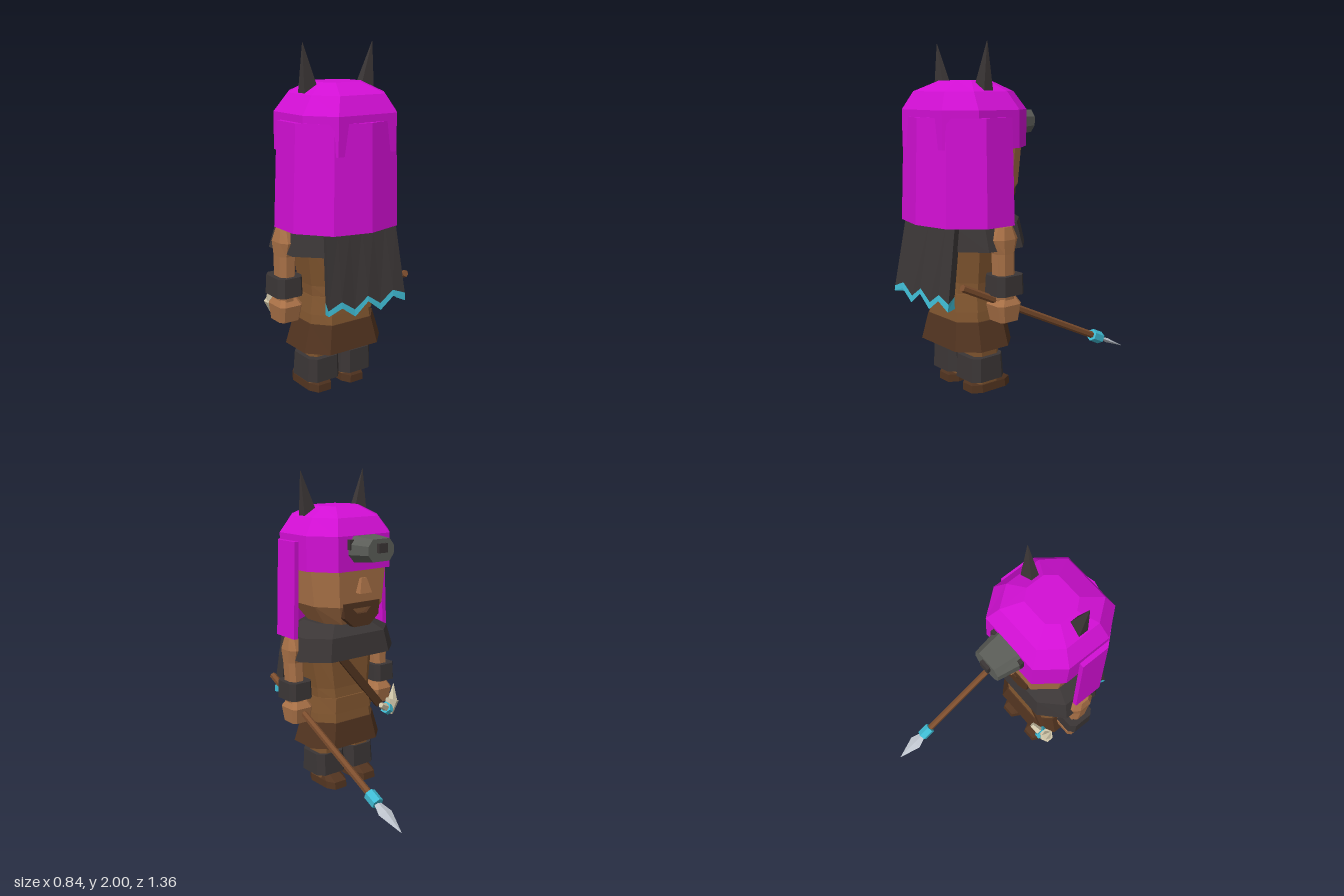
import * as THREE from 'three';

const mat = (name, color, side = THREE.FrontSide) => {
  const m = new THREE.MeshStandardMaterial({ color, side });
  m.name = name;
  return m;
};

// Faceted normals for a low-poly look
function flat(geo) {
  const g = geo.index ? geo.toNonIndexed() : geo;
  g.computeVertexNormals();
  return g;
}

// Closed solid through convex rings of points, listed from bottom to top
function loft(rings) {
  const n = rings[0].length, idx = [], last = (rings.length - 1) * n;
  for (let r = 0; r < rings.length - 1; r++) {
    for (let i = 0; i < n; i++) {
      const j = (i + 1) % n, a = r * n + i, b = r * n + j;
      idx.push(a, a + n, b + n, a, b + n, b);
    }
  }
  for (let i = 1; i < n - 1; i++) idx.push(0, i, i + 1, last, last + i + 1, last + i);
  const g = new THREE.BufferGeometry();
  g.setAttribute('position', new THREE.Float32BufferAttribute(rings.flat(2), 3));
  g.setIndex(idx);
  return flat(g);
}

// Chamfered rectangle ring; kx and kz are the flat fractions of its sides
function oct(y, hx, z0, z1, kx = 0.62, kz = 0.48, cx = 0) {
  const c = (z0 + z1) / 2, h = (z1 - z0) / 2;
  return [[1, kz], [kx, 1], [-kx, 1], [-1, kz], [-1, -kz], [-kx, -1], [kx, -1], [1, -kz]]
    .map(([x, z]) => [cx + x * hx, y, c + z * h]);
}

const rect = (y, x0, x1, z0, z1) => [[x1, y, z0], [x1, y, z1], [x0, y, z1], [x0, y, z0]];

// Open surface between rows of points
function sheet(rows) {
  const n = rows[0].length, idx = [];
  for (let r = 0; r < rows.length - 1; r++) {
    for (let i = 0; i < n - 1; i++) {
      const a = r * n + i, b = a + n;
      idx.push(a, b, a + 1, a + 1, b, b + 1);
    }
  }
  const g = new THREE.BufferGeometry();
  g.setAttribute('position', new THREE.Float32BufferAttribute(rows.flat(2), 3));
  g.setIndex(idx);
  return flat(g);
}

export function createModel() {
  const model = new THREE.Group();
  const hair = mat('magenta hair', 0xd20fd4);
  const cloth = mat('charcoal cloth', 0x3b3636, THREE.DoubleSide);
  const lampGrey = mat('lamp grey', 0x5c5e59);
  const skin = mat('skin', 0xa97147);
  const tunicBrown = mat('tunic brown', 0x80552f);
  const leather = mat('dark leather', 0x523420);
  const wood = mat('wood', 0x7d4e2e);
  const cyan = mat('cyan', 0x3fbbd3, THREE.DoubleSide);
  const bone = mat('bone', 0xcfc5a8);
  const steel = mat('steel', 0xbcc2cb);

  const add = (name, geo, material, parent = model) => {
    const m = new THREE.Mesh(geo, material);
    m.name = name;
    parent.add(m);
    return m;
  };
  // Tapered prism between two points
  const rod = (name, a, b, ra, rb, sides, material, parent = model) => {
    const p = new THREE.Vector3(...a), q = new THREE.Vector3(...b);
    const m = add(name, flat(new THREE.CylinderGeometry(rb, ra, p.distanceTo(q), sides)), material, parent);
    m.position.copy(p).lerp(q, 0.5);
    m.quaternion.setFromUnitVectors(new THREE.Vector3(0, 1, 0), q.sub(p).normalize());
    return m;
  };

  // Head and face
  add('head', loft([oct(1.08, 0.17, 0.13, 0.5), oct(1.2, 0.26, 0.075, 0.56), oct(1.44, 0.285, 0.06, 0.59)]), skin);
  add('neck', loft([oct(0.95, 0.13, 0.2, 0.46), oct(1.12, 0.13, 0.2, 0.46)]), skin);
  add('nose', loft([rect(1.28, -0.045, 0.045, 0.025, 0.12), rect(1.37, -0.02, 0.02, 0.045, 0.12)]), skin);
  const beard = new THREE.Shape([[-0.14, 1.22], [-0.13, 1.13], [-0.06, 1.07], [0.06, 1.07], [0.13, 1.13], [0.14, 1.22]]
    .map(p => new THREE.Vector2(...p)));
  beard.holes.push(new THREE.Path([[-0.07, 1.185], [0.07, 1.185], [0.035, 1.15], [-0.035, 1.15]]
    .map(p => new THREE.Vector2(...p))));
  add('beard', flat(new THREE.ExtrudeGeometry(beard, { depth: 0.045, bevelEnabled: false }).translate(0, 0, 0.068)), leather);

  // Hair cap and long hair curtain round the sides and back
  add('hairCap', loft([
    oct(1.42, 0.315, 0.04, 0.63), oct(1.63, 0.315, 0.04, 0.63),
    oct(1.73, 0.245, 0.1, 0.58), oct(1.79, 0.135, 0.21, 0.45)]), hair);
  const side = [[0.365, 0.27], [0.365, 0.46], [0.22, 0.63], [0, 0.68]];
  const inner = [[0, 0.645], [0.2, 0.6], [0.33, 0.445], [0.335, 0.27]];
  const flip = pts => pts.map(([x, z]) => [-x, z]).reverse();
  const outline = [...side, ...flip(side).slice(1), ...flip(inner), ...inner.slice(1)];
  const curtain = new THREE.ExtrudeGeometry(new THREE.Shape(outline.map(p => new THREE.Vector2(...p))),
    { depth: 0.59, bevelEnabled: false }).rotateX(Math.PI / 2).translate(0, 1.59, 0);
  const cp = curtain.attributes.position;
  for (let i = 0; i < cp.count; i++) {
    if (cp.getY(i) > 1.3) cp.setXYZ(i, cp.getX(i) * 0.945, cp.getY(i), 0.27 + (cp.getZ(i) - 0.27) * 0.95);
  }
  add('hairCurtain', flat(curtain), hair);

  // Horns with upright outer edges
  for (const s of [-1, 1]) {
    const xs = [s * 0.135, s * 0.237].sort((a, b) => a - b), t = s * 0.236;
    add('horn', loft([rect(1.72, ...xs, 0.315, 0.38), rect(2, t - 0.001, t + 0.001, 0.355, 0.357)]), cloth);
  }

  // Forehead lamp
  const lamp = new THREE.Group();
  lamp.name = 'headLamp';
  lamp.position.set(0, 1.55, 0);
  lamp.rotation.x = -Math.PI / 2;
  model.add(lamp);
  add('lampBody', loft([oct(-0.06, 0.125, -0.08, 0.08, 0.66, 0.4), oct(0.115, 0.095, -0.062, 0.07, 0.66, 0.4)]), lampGrey, lamp);
  add('lampLens', loft([rect(0.1, -0.032, 0.032, -0.01, 0.045), rect(0.135, -0.032, 0.032, -0.01, 0.045)]), cloth, lamp);
  for (const s of [-1, 1]) {
    add('lampClip', new THREE.BoxGeometry(0.03, 0.025, 0.06).translate(s * 0.112, -0.03, 0.03), cloth, lamp);
  }

  // Torso, skirt and shoulder mantle
  add('torso', loft([oct(0.42, 0.22, 0.16, 0.51), oct(0.58, 0.2, 0.175, 0.49),
    oct(0.66, 0.205, 0.185, 0.48), oct(0.95, 0.25, 0.19, 0.5)]), tunicBrown);
  add('waistFold', loft([oct(0.5, 0.225, 0.16, 0.515), oct(0.6, 0.205, 0.168, 0.5)]), tunicBrown);
  add('skirt', loft([oct(0.28, 0.272, 0.135, 0.54), oct(0.44, 0.225, 0.155, 0.512)]), leather);
  add('mantle', loft([oct(0.87, 0.365, 0.08, 0.58), oct(1.01, 0.325, 0.1, 0.57), oct(1.08, 0.2, 0.18, 0.49)]), cloth);
  const strap = rod('strap', [0.13, 0.92, 0.178], [-0.21, 0.5, 0.155], 0.03, 0.03, 4, leather);
  strap.geometry.rotateY(Math.PI / 4).scale(1.2, 1, 0.7);

  // Cape with folded sides and a zigzag hem
  const hem = [-0.25, -0.27, -0.18, -0.09, 0, 0.09, 0.18, 0.27, 0.25];
  const depth = (i, edge, mid) => (i === 0 || i === 8 ? edge : mid);
  const up = [0.63, 0.6, 0.635, 0.575, 0.635, 0.575, 0.635, 0.6, 0.63];
  const low = [0.56, 0.57, 0.6, 0.535, 0.605, 0.535, 0.6, 0.555, 0.56];
  const top = hem.map((x, i) => [x * 0.9, 1.0, depth(i, 0.54, 0.59)]);
  const mid = hem.map((x, i) => [x, up[i], depth(i, 0.6, 0.655)]);
  const end = hem.map((x, i) => [x, low[i], depth(i, 0.6, 0.66)]);
  add('cape', sheet([top, mid]), cloth);
  add('capeTrim', sheet([mid, end]), cyan);

  for (const s of [-1, 1]) {
    // Arms, cuffs and hands
    const x = s * 0.335;
    add('arm', loft([oct(0.56, 0.045, 0.26, 0.38, 0.5, 0.5, x), oct(0.85, 0.055, 0.27, 0.39, 0.5, 0.5, x),
      oct(0.93, 0.06, 0.25, 0.41, 0.5, 0.5, x), oct(1.0, 0.045, 0.28, 0.38, 0.5, 0.5, x)]), skin);
    add('cuff', loft([oct(0.62, 0.084, 0.225, 0.415, 0.65, 0.65, x), oct(0.73, 0.08, 0.23, 0.41, 0.65, 0.65, x)]), cloth);
    add('hand', loft([oct(0.465, 0.065, 0.25, 0.38, 0.7, 0.7, s * 0.325), oct(0.56, 0.075, 0.235, 0.4, 0.7, 0.7, s * 0.325),
      oct(0.6, 0.05, 0.26, 0.37, 0.7, 0.7, s * 0.325)]), skin);
    // Legs, boot cuffs and feet
    const l = s * 0.117;
    add('leg', loft([oct(0.05, 0.075, 0.23, 0.4, 0.6, 0.6, l), oct(0.32, 0.08, 0.23, 0.41, 0.6, 0.6, l)]), tunicBrown);
    add('bootCuff', loft([oct(0.08, 0.11, 0.21, 0.445, 0.65, 0.65, l), oct(0.22, 0.105, 0.22, 0.44, 0.65, 0.65, l)]), cloth);
    add('foot', loft([oct(0, 0.075, 0.14, 0.42, 0.6, 0.6, l), oct(0.045, 0.073, 0.145, 0.42, 0.6, 0.6, l),
      oct(0.085, 0.06, 0.22, 0.4, 0.6, 0.6, l)]), leather);
  }

  // Bone charm at the hip
  const charm = new THREE.Group();
  charm.name = 'boneCharm';
  model.add(charm);
  rod('boneBody', [-0.27, 0.43, 0.125], [-0.3, 0.52, 0.125], 0.028, 0.045, 6, bone, charm);
  rod('boneSpike', [-0.3, 0.52, 0.125], [-0.32, 0.62, 0.138], 0.032, 0.002, 5, bone, charm);
  rod('boneProng', [-0.25, 0.47, 0.12], [-0.18, 0.51, 0.1], 0.03, 0.018, 5, bone, charm);
  rod('charmBand', [-0.265, 0.46, 0.125], [-0.235, 0.478, 0.118], 0.042, 0.04, 6, cyan, charm);

  // Spear held in the left hand, point low
  const spear = new THREE.Group();
  spear.name = 'spear';
  model.add(spear);
  const at = z => [0.32, 0.41 + 0.469 * z, z];
  rod('spearShaft', at(0.6), at(-0.46), 0.021, 0.021, 6, wood, spear);
  rod('spearCollar', at(-0.4), at(-0.475), 0.038, 0.038, 6, cyan, spear);
  const bladeParts = [rod('bladeBase', at(-0.47), at(-0.54), 0.022, 0.047, 4, steel, spear),
    rod('bladeTip', at(-0.54), at(-0.68), 0.047, 0.001, 4, steel, spear)];
  for (const b of bladeParts) {
    b.geometry.scale(1, 1, 0.3);
    b.geometry.computeVertexNormals();
  }
  return model;
}
